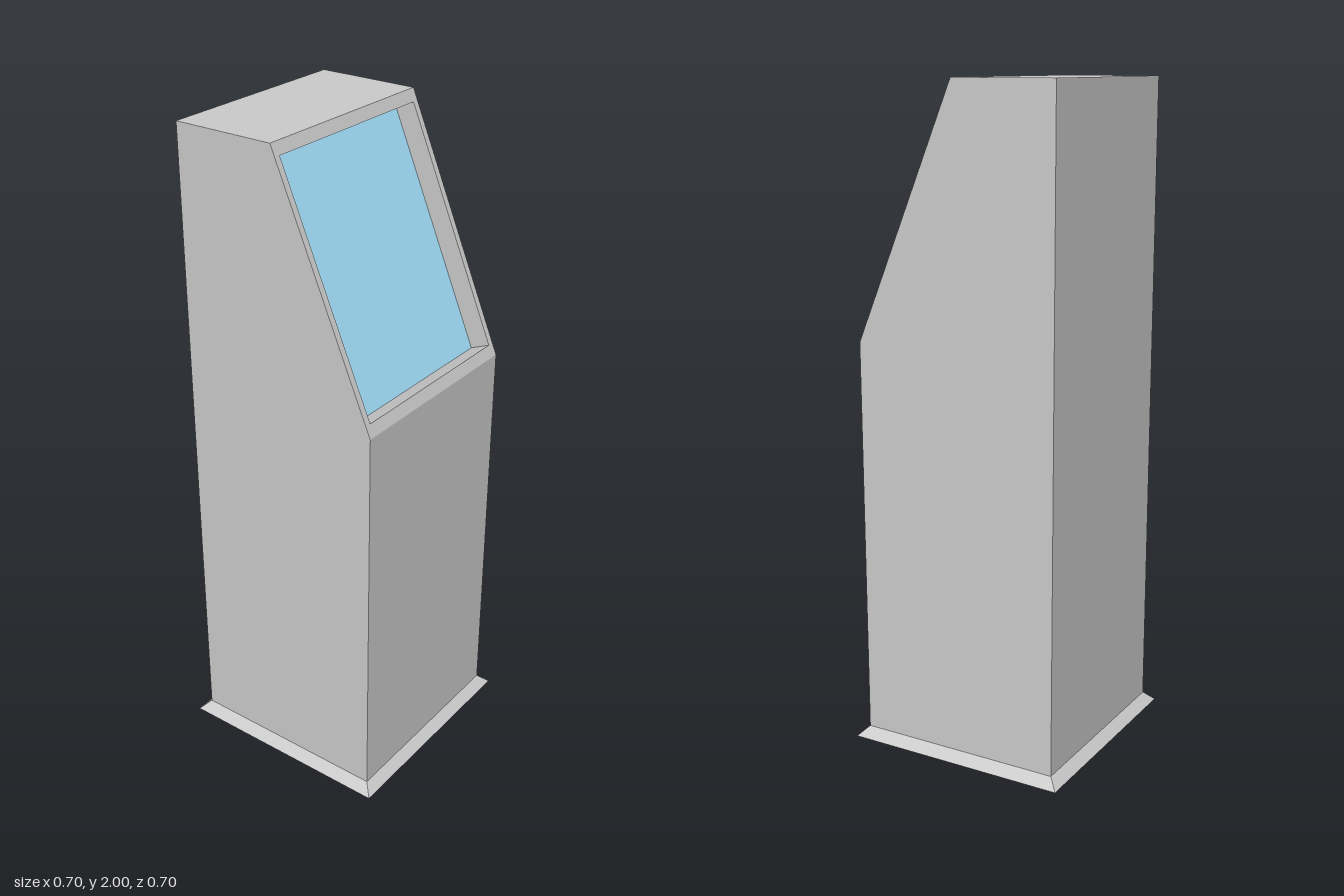
import * as THREE from 'three';

const grey = new THREE.MeshStandardMaterial({ color: 0xcccccc, flatShading: true });
const blue = new THREE.MeshStandardMaterial({ color: 0xa3e0fb });

// Flat-faced geometry from convex polygons with counter-clockwise corners
function facesGeometry(polygons) {
  const positions = [];
  for (const p of polygons) {
    for (let i = 1; i < p.length - 1; i++) positions.push(...p[0], ...p[i], ...p[i + 1]);
  }
  const geometry = new THREE.BufferGeometry();
  geometry.setAttribute('position', new THREE.Float32BufferAttribute(positions, 3));
  geometry.computeVertexNormals();
  return geometry;
}

function addMesh(parent, name, geometry, material = grey) {
  const mesh = new THREE.Mesh(geometry, material);
  mesh.name = name;
  parent.add(mesh);
  return mesh;
}

const rectangle = (w, h) => [[-w, -h], [w, -h], [w, h], [-w, h]];
const toVectors = (points) => points.map(([x, y]) => new THREE.Vector2(x, y));

export function createModel() {
  const model = new THREE.Group();
  model.name = 'kiosk';

  const half = 0.32, baseHeight = 0.03, slopeBottom = 1.25, height = 2;

  // Flared base plate
  const base = new THREE.CylinderGeometry(half * Math.SQRT2, 0.35 * Math.SQRT2, baseHeight, 4);
  base.rotateY(Math.PI / 4).translate(0, baseHeight / 2, 0);
  addMesh(model, 'basePlate', base);

  // Cabinet: side profile as [z, y], left open along the sloping edge
  const profile = [[half, baseHeight], [half, slopeBottom], [0, height], [-half, height], [-half, baseHeight]];
  const side = (x) => profile.map(([z, y]) => [x, y, z]);
  const left = side(half), right = side(-half);
  const panels = [right, [...left].reverse()];
  for (const i of [0, 2, 3]) panels.push([right[i], left[i], left[i + 1], right[i + 1]]);
  addMesh(model, 'cabinet', facesGeometry(panels));

  // Sloping display, built flat in its own plane
  const display = new THREE.Group();
  display.name = 'display';
  display.position.set(0, (slopeBottom + height) / 2, half / 2);
  display.rotation.x = -Math.atan2(half, height - slopeBottom);
  model.add(display);

  const slopeHalf = Math.hypot(half, height - slopeBottom) / 2;
  const openX = 0.3, openY = 0.37, depth = 0.065;
  const opening = rectangle(openX, openY);

  // Frame around the opening
  const frame = new THREE.Shape(toVectors(rectangle(half, slopeHalf)));
  frame.holes.push(new THREE.Path(toVectors(opening)));
  addMesh(display, 'screenFrame', new THREE.ShapeGeometry(frame));

  // Inward-facing walls of the recess
  const walls = opening.map((a, i) => {
    const b = opening[(i + 1) % 4];
    return [[...a, 0], [...b, 0], [...b, -depth], [...a, -depth]];
  });
  addMesh(display, 'recessWalls', facesGeometry(walls));

  // Screen at the back of the recess
  addMesh(display, 'screen', new THREE.PlaneGeometry(openX * 2, openY * 2), blue).position.z = -depth;

  return model;
}
